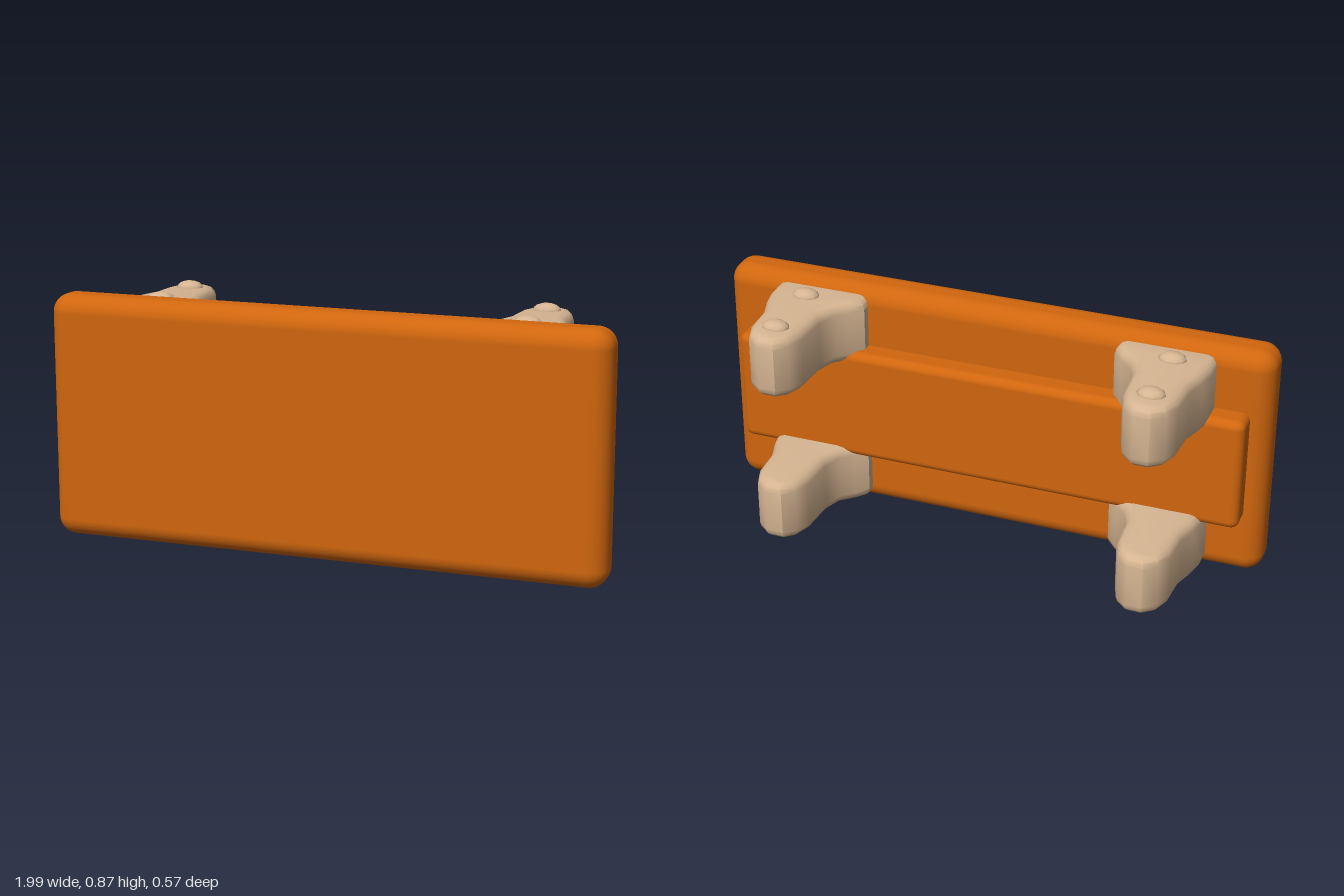
import * as THREE from 'three';
import { toCreasedNormals } from 'three/addons/utils/BufferGeometryUtils.js';
import { RoundedBoxGeometry } from 'three/addons/geometries/RoundedBoxGeometry.js';

export function createModel() {
  const model = new THREE.Group();
  model.name = 'tippedTable';
  const orange = new THREE.MeshStandardMaterial({ name: 'orange wood', color: 0xd0660e });
  const tan = new THREE.MeshStandardMaterial({ name: 'pale wood', color: 0xd6b592 });

  const add = (name, geometry, material, x, y, z, parent = model) => {
    const mesh = new THREE.Mesh(geometry, material);
    mesh.name = name;
    mesh.position.set(x, y, z);
    parent.add(mesh);
    return mesh;
  };

  // Table top standing on its long edge, with the thinner apron behind it
  add('tableTop', new RoundedBoxGeometry(1.99, 0.865, 0.162, 5, 0.065), orange, 0, 0.437, 0.202);
  add('apron', new RoundedBoxGeometry(1.85, 0.42, 0.16, 4, 0.03), orange, 0, 0.44, 0.118);

  // Leg outline in x and z: flared bracket at the apron, rounded foot at the back
  const outline = [
    [0.455, 0.17], [0.455, 0.09], [0.49, 0.05], [0.535, 0.01], [0.56, -0.06], [0.568, -0.19],
    [0.59, -0.25], [0.63, -0.285], [0.69, -0.285], [0.735, -0.25], [0.757, -0.19],
    [0.762, -0.08], [0.785, -0.01], [0.8, 0.06], [0.8, 0.17],
  ];
  const height = 0.23, bevel = 0.035;
  const legGeometry = (side) => {
    const shape = new THREE.Shape(outline.map(([x, z]) => new THREE.Vector2(side * x, -z)));
    const geometry = new THREE.ExtrudeGeometry(shape, {
      depth: height - 2 * bevel, bevelEnabled: true, bevelSize: bevel,
      bevelThickness: bevel, bevelOffset: -bevel, bevelSegments: 3,
    });
    geometry.rotateX(-Math.PI / 2).translate(0, bevel - height / 2, 0);
    return toCreasedNormals(geometry, 0.7);
  };

  // Four legs, each with two small knobs on its outward face
  const knob = new THREE.SphereGeometry(1, 10, 8).scale(0.05, 0.026, 0.038);
  for (const side of [-1, 1]) {
    for (const level of [-1, 1]) {
      const leg = new THREE.Group();
      leg.name = (level > 0 ? 'upper' : 'lower') + (side > 0 ? 'Left' : 'Right') + 'Leg';
      leg.position.y = 0.437 + level * 0.288;
      model.add(leg);
      add('legBody', legGeometry(side), tan, 0, 0, 0, leg);
      for (const z of [0.062, -0.187]) {
        add('legKnob', knob, tan, side * 0.663, level * 0.113, z, leg);
      }
    }
  }
  return model;
}
